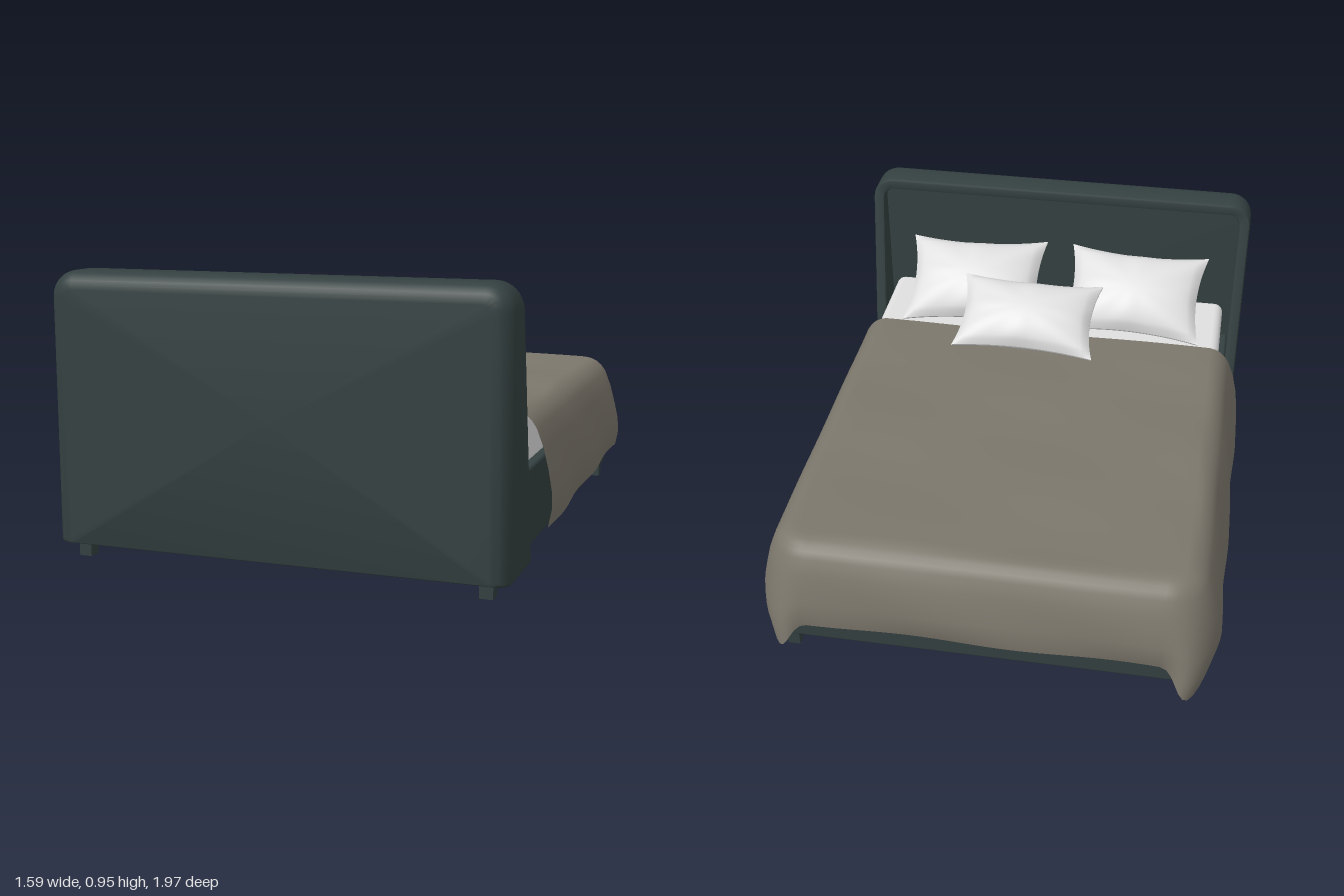
import * as THREE from 'three';
import { toCreasedNormals } from 'three/addons/utils/BufferGeometryUtils.js';
import { RoundedBoxGeometry } from 'three/addons/geometries/RoundedBoxGeometry.js';

const upholstery = new THREE.MeshStandardMaterial({ name: 'dark upholstery', color: 0x344040 });
const blanketCloth = new THREE.MeshStandardMaterial({ name: 'taupe blanket', color: 0x7c776c, side: THREE.DoubleSide });
const linen = new THREE.MeshStandardMaterial({ name: 'white linen', color: 0xe0e0e0 });

const { lerp, clamp } = THREE.MathUtils;

// Skin a list of cross-sections, each an array of [x, y, z] points
function loft(rows, closed) {
  const n = rows[0].length, index = [];
  for (let r = 0; r < rows.length - 1; r++) {
    for (let c = 0; c < (closed ? n : n - 1); c++) {
      const a = r * n + c, b = r * n + (c + 1) % n;
      index.push(a, a + n, b, b, a + n, b + n);
    }
  }
  const geometry = new THREE.BufferGeometry();
  geometry.setAttribute('position', new THREE.Float32BufferAttribute(rows.flat(2), 3));
  geometry.setIndex(index);
  geometry.computeVertexNormals();
  return geometry;
}

function addMesh(parent, name, geometry, material, x = 0, y = 0, z = 0) {
  const mesh = new THREE.Mesh(geometry, material);
  mesh.name = name;
  mesh.position.set(x, y, z);
  parent.add(mesh);
  return mesh;
}

// Front-view outline of the headboard, rounded at the top, inset by i
function headboardOutline(i) {
  const w = 0.77 - i, top = 0.955 - i, bottom = 0.05 + 0.15 * i, pts = [];
  const corner = (sx, cy, r, start) => {
    for (let k = 0; k <= 8; k++) {
      const a = start + (k / 8) * Math.PI / 2;
      pts.push([sx * (w - r) + r * Math.cos(a), cy + r * Math.sin(a)]);
    }
  };
  const r = Math.max(0.085 - i, 0.03), rb = 0.012;
  corner(1, bottom + rb, rb, -Math.PI / 2);
  corner(1, top - r, r, 0);
  corner(-1, top - r, r, Math.PI / 2);
  corner(-1, bottom + rb, rb, Math.PI);
  return pts;
}

// Headboard: soft rear edge, slanted side wings, recessed inner panel
function headboardGeometry() {
  const slant = y => lerp(0.69, 0.845, clamp((y - 0.055) / 0.85, 0, 1));
  const centre = z => headboardOutline(0).map(() => [0, 0.5, z]);
  const flat = (inset, z) => headboardOutline(inset).map(([x, y]) => [x, y, z]);
  const front = (inset, dz) => headboardOutline(inset).map(([x, y]) => [x, y, slant(y) + dz]);
  const rows = [centre(1)];
  for (let k = 0; k <= 6; k++) {
    const a = (k / 6) * Math.PI / 2;
    rows.push(flat(0.06 * (1 - Math.sin(a)), 0.94 + 0.06 * Math.cos(a)));
  }
  rows.push(front(0, 0.01), front(0.004, 0.002), front(0.01, 0), front(0.035, 0),
    front(0.041, 0.002), front(0.045, 0.01), flat(0.045, 0.885), centre(0.885));
  return toCreasedNormals(loft(rows, true), 0.6);
}

// Blanket: flat top running into a skirt that flares at the foot corners
function blanketGeometry() {
  const W = 0.66, L = 0.8, r = 0.06, head = 0.505;
  const path = []; // rim point, outward direction and corner weight
  const side = s => {
    for (let k = 0; k < 24; k++) path.push({ x: s * W, z: lerp(head, r - L, k / 24), nx: s, nz: 0, g: 0 });
  };
  const corner = s => {
    for (let k = 0; k <= 12; k++) {
      const a = (k / 12) * Math.PI / 2, nx = s * Math.cos(a), nz = -Math.sin(a);
      path.push({ x: s * (W - r) + r * nx, z: r - L + r * nz, nx, nz, g: Math.sin(2 * a) ** 2 });
    }
  };
  side(1); corner(1);
  for (let k = 1; k < 24; k++) path.push({ x: lerp(W - r, r - W, k / 24), z: -L, nx: 0, nz: -1, g: 0 });
  const half = path.length;
  corner(-1); side(-1);
  // Mirror the order of the second half so the path runs round the bed
  const tail = path.splice(half).reverse();
  tail.unshift({ x: -W, z: head, nx: -1, nz: 0, g: 0 });
  path.push(...tail.slice(1), tail[0]);
  // Keep the last side ordered from foot to head
  const leftSide = path.slice(half).sort((a, b) => a.z - b.z);
  path.splice(half, path.length, ...leftSide);

  const rows = [];
  for (let k = 0; k <= 10; k++) {
    rows.push(path.map(p => {
      const t = k / 10, x = p.x * t, z = lerp(Math.max(p.z, -0.6), p.z, t);
      return [x, 0.502 + 0.003 * Math.sin(6 * x + 9 * z) + 0.002 * Math.sin(13 * z - 5 * x), z];
    }));
  }
  // [outward offset, share of the drop]
  const skirt = [[0.022, 0.012], [0.042, 0.04], [0.06, 0.085], [0.077, 0.15], [0.1, 0.32],
    [0.115, 0.5], [0.127, 0.68], [0.131, 0.84], [0.123, 1]];
  for (const [d, drop] of skirt) {
    rows.push(path.map(p => {
      const hem = lerp(0.115 + 0.03 * (head - p.z), 0.2, p.nz * p.nz);
      const f = drop * drop * p.g, s = Math.sign(p.x);
      const out = d + 0.006 * drop * Math.sin(11 * p.z + 9 * p.x + 5 * drop);
      return [
        p.x + p.nx * out - s * 0.03 * f,
        lerp(0.502, hem, drop) - 0.08 * f,
        p.z + p.nz * out - (s < 0 ? 0.09 : 0.06) * f
      ];
    }));
  }
  return loft(rows, false);
}

// Pillow: pinched edges, pointed corners, plump middle with soft creases
function pillowGeometry(w, h, t) {
  const geometry = new THREE.BoxGeometry(2, 2, 2, 28, 22, 1);
  const p = geometry.attributes.position;
  for (let i = 0; i < p.count; i++) {
    const u = p.getX(i), v = p.getY(i), bulge = (1 - u * u) * (1 - v * v);
    const rim = Math.max(Math.abs(u), Math.abs(v));
    const crease = 0.007 * Math.sin(8 * Math.atan2(v, u) + 1) * rim * rim * Math.sqrt(bulge);
    p.setXYZ(i,
      w * u * (1 - 0.1 * (1 - v * v)),
      h * v * (1 - 0.13 * (1 - u * u)),
      p.getZ(i) * (0.004 + t * Math.pow(bulge, 0.55) + crease));
  }
  geometry.computeVertexNormals();
  return geometry;
}

export function createModel() {
  const bed = new THREE.Group();
  bed.name = 'bed';

  // Frame
  addMesh(bed, 'headboard', headboardGeometry(), upholstery);
  addMesh(bed, 'bedBase', new RoundedBoxGeometry(1.45, 0.268, 1.745, 3, 0.012), upholstery, 0, 0.186, 0.0275);
  for (const x of [-0.69, 0.69]) {
    for (const z of [-0.815, 0.925]) {
      addMesh(bed, 'leg', new THREE.BoxGeometry(0.044, 0.06, 0.044), upholstery, x, 0.03, z);
    }
  }

  // Bedding
  addMesh(bed, 'mattress', new RoundedBoxGeometry(1.39, 0.19, 1.68, 4, 0.035), linen, 0, 0.393, 0.04);
  addMesh(bed, 'blanket', blanketGeometry(), blanketCloth);

  // Pillows leaning back towards the headboard
  const pillows = [
    ['rightPillow', -0.335, 0.6, 0.7, 0.28, 0.19, 0.09, 56, 0.03],
    ['leftPillow', 0.32, 0.6, 0.7, 0.28, 0.19, 0.09, 56, -0.03],
    ['frontPillow', 0.07, 0.59, 0.485, 0.28, 0.165, 0.085, 62, 0.02]
  ];
  for (const [name, x, y, z, w, h, t, tilt, roll] of pillows) {
    const pillow = addMesh(bed, name, pillowGeometry(w, h, t), linen, x, y, z);
    pillow.rotation.set(THREE.MathUtils.degToRad(tilt), 0, roll);
  }
  return bed;
}
